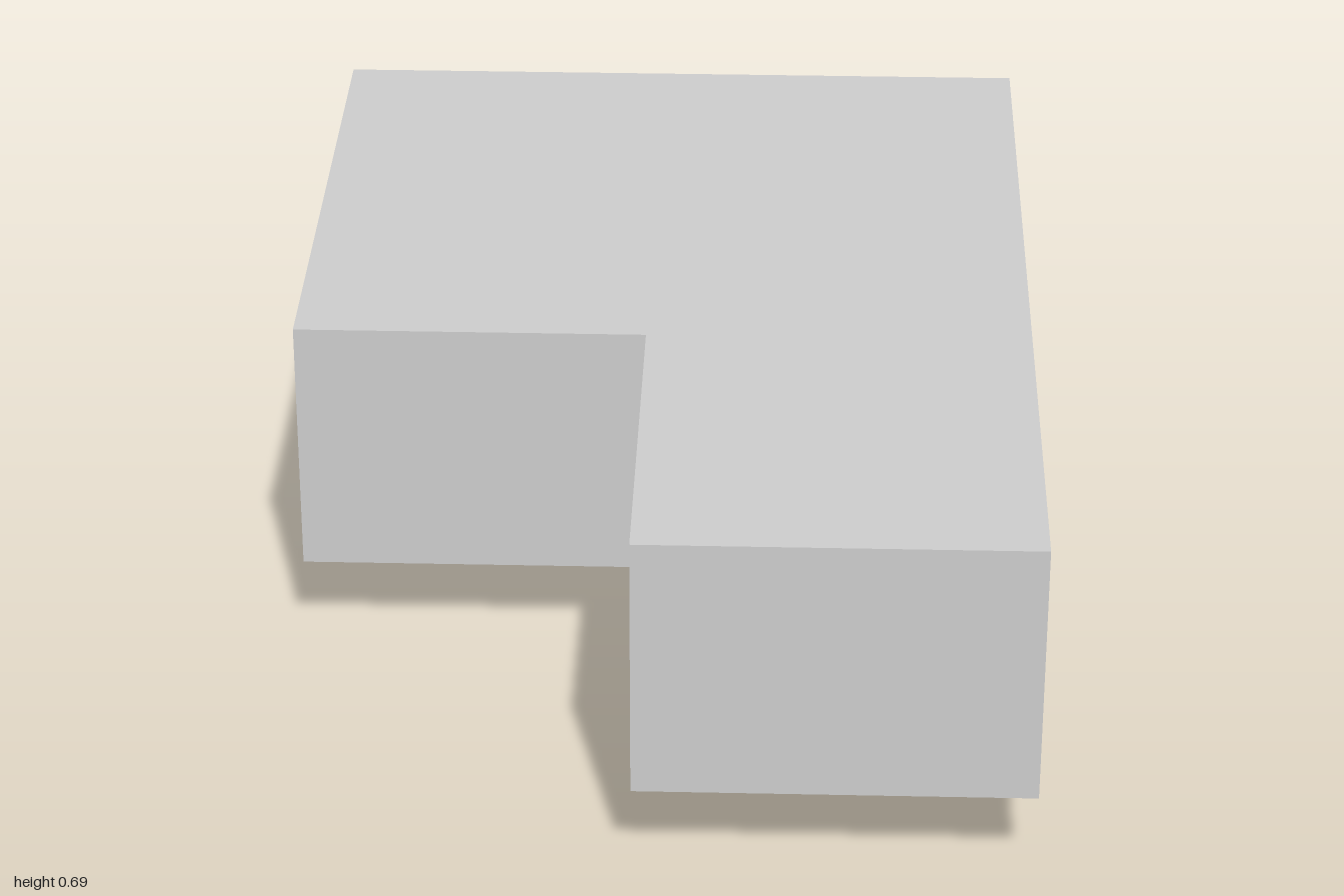
import * as THREE from 'three';

const solid = new THREE.MeshStandardMaterial({ color: 0xcccccc, flatShading: true });
const thin = new THREE.MeshStandardMaterial({ color: 0xcccccc, flatShading: true, side: THREE.DoubleSide });

const BASE = 0.18, SILL = 0.31, HEAD = 0.52, TOP = 0.69;

const shapeOf = (points) => new THREE.Shape(points.map(([a, b]) => new THREE.Vector2(a, b)));

// Extrudes a side profile of [distance to the back, height] points across x.
function profile(name, points, x, width) {
  const geometry = new THREE.ExtrudeGeometry(shapeOf(points), { depth: width, bevelEnabled: false });
  geometry.rotateY(Math.PI / 2);
  geometry.translate(x - width / 2, 0, 0);
  const mesh = new THREE.Mesh(geometry, solid);
  mesh.name = name;
  return mesh;
}

// Flat L-shaped slab from a plan of [x, z] points.
function plate(name, plan, y) {
  const geometry = new THREE.ShapeGeometry(shapeOf(plan.map(([x, z]) => [x, -z])));
  geometry.rotateX(-Math.PI / 2);
  geometry.translate(0, y, 0);
  const mesh = new THREE.Mesh(geometry, thin);
  mesh.name = name;
  return mesh;
}

// Thin upright wall between two plan points.
function wall(name, [x0, z0], [x1, z1]) {
  const geometry = new THREE.PlaneGeometry(Math.hypot(x1 - x0, z1 - z0), TOP - BASE);
  const mesh = new THREE.Mesh(geometry, thin);
  mesh.rotation.y = -Math.atan2(z1 - z0, x1 - x0);
  mesh.position.set((x0 + x1) / 2, (BASE + TOP) / 2, (z0 + z1) / 2);
  mesh.name = name;
  return mesh;
}

export function createModel() {
  const group = new THREE.Group();
  group.name = 'building';

  // Roof and floor follow the same L-shaped plan
  const plan = (back) => [[0.7, 1], [0.7, back], [-0.7, back], [-0.7, 0.21], [-0.03, 0.21], [-0.03, 1]];
  group.add(plate('roof', plan(-1), TOP), plate('floor', plan(-0.74), BASE));

  // Front walls around the notch
  group.add(
    wall('frontWall', [-0.03, 1], [0.7, 1]),
    wall('notchSideWall', [-0.03, 0.21], [-0.03, 1]),
    wall('notchFrontWall', [-0.7, 0.21], [-0.03, 0.21]),
  );

  // Side walls with the flared eave, the rear doorway and, on one side, a door
  const rear = [
    [0.41, BASE], [0.41, HEAD], [0.65, HEAD], [0.65, BASE], [0.74, BASE],
    [0.74, SILL], [0.77, HEAD], [0.87, 0.61], [1, TOP],
  ];
  const door = [[-0.34, BASE], [-0.34, HEAD], [0.01, HEAD], [0.01, BASE]];
  group.add(
    profile('leftWall', [[-1, BASE], ...door, ...rear, [-1, TOP]], 0.675, 0.05),
    profile('rightWall', [[-0.21, BASE], ...rear, [-0.21, TOP]], -0.675, 0.05),
  );

  // Rear wall: flared eave, low parapet and the post between the two openings
  group.add(
    profile('rearEave', [[0.65, HEAD], [0.77, HEAD], [0.87, 0.61], [1, TOP], [0.65, TOP]], 0, 1.3),
    profile('rearParapet', [[0.65, BASE], [0.74, BASE], [0.74, SILL], [0.65, SILL]], 0, 1.3),
    profile('rearPost', [[0.65, SILL], [0.74, SILL], [0.77, HEAD], [0.65, HEAD]], 0, 0.06),
  );

  // Row of angular brackets hanging from the parapet
  const bracket = [
    [0.65, BASE], [0.74, 0.05], [0.74, 0], [0.81, 0.13], [0.81, 0.27], [0.74, SILL], [0.74, BASE],
  ];
  for (let i = 0; i < 8; i++) {
    group.add(profile('bracket', bracket, -0.577 + i * 0.1664, 0.083));
  }
  return group;
}
